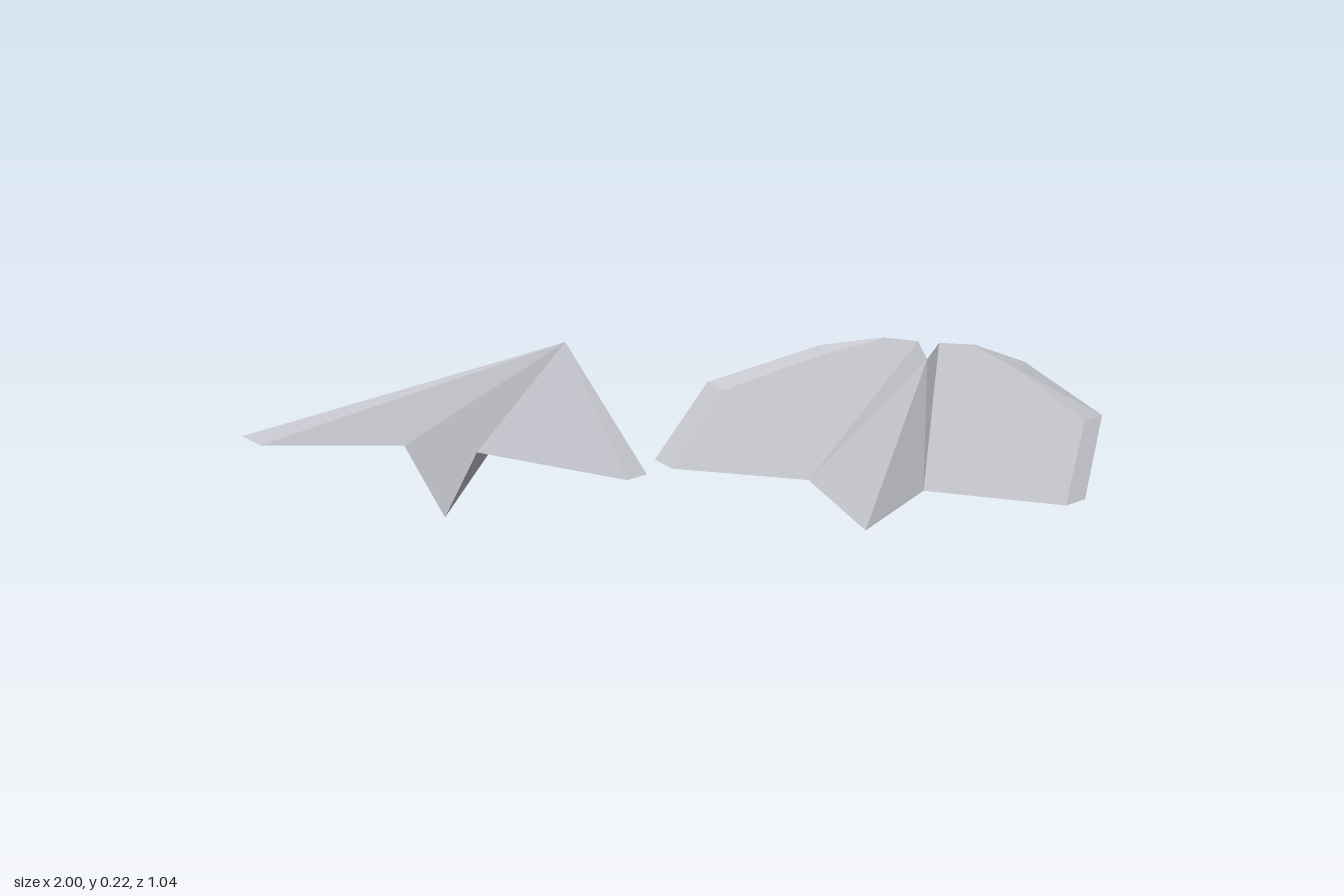
import * as THREE from 'three';

const paper = new THREE.MeshStandardMaterial({ color: 0xc8c9d0, side: THREE.DoubleSide });
paper.name = 'paper';

// Flat panel from a convex outline; flip keeps the upper side facing up on mirrored halves
function panel(name, points, side) {
  const pos = [];
  for (let i = 1; i < points.length - 1; i++) {
    const tri = [points[0], points[i], points[i + 1]];
    if (side < 0) tri.reverse();
    tri.forEach(([x, y, z]) => pos.push(x * side, y, z));
  }
  const g = new THREE.BufferGeometry();
  g.setAttribute('position', new THREE.Float32BufferAttribute(pos, 3));
  g.computeVertexNormals();
  const mesh = new THREE.Mesh(g, paper);
  mesh.name = name;
  return mesh;
}

// Build a plane from the panels of its left half, mirrored about the keel
function foldedPlane(name, x, panels) {
  const plane = new THREE.Group();
  plane.name = name;
  plane.position.x = x;
  for (const side of [1, -1])
    for (const [part, points] of Object.entries(panels))
      plane.add(panel((side > 0 ? 'left ' : 'right ') + part, points, side));
  return plane;
}

function dartPlane() {
  const nose = [0, 0.1, -0.52], keel = [0, 0, 0.48], fold = [0.09, 0.18, 0.49];
  const crease = [0.455, 0.148, 0.495], tip = [0.502, 0.166, 0.493];
  return foldedPlane('dartPlane', -0.498, {
    keel: [nose, keel, fold],
    wing: [nose, fold, crease],
    winglet: [nose, crease, tip],
  });
}

function gliderPlane() {
  const y = 0.198, top = 0.217;
  const keelFront = [0, 0.155, -0.465], keelRear = [0, 0.08, 0.495];
  const foldFront = [0.028, y, -0.48], foldRear = [0.13, y, 0.512];
  // Wing crease and raised rim, from front to rear
  const crease = [[0.115, y, -0.487], [0.25, y, -0.325], [0.445, y, 0], [0.445, y, 0.52]];
  const rim = [[0.12, y, -0.488], [0.265, top, -0.335], [0.485, top, 0], [0.485, top, 0.52]];
  const panels = {
    keel: [keelFront, keelRear, foldRear, foldFront],
    wing: [foldFront, foldRear, ...[...crease].reverse()],
  };
  ['front rim', 'middle rim', 'side rim'].forEach((part, i) => {
    panels[part] = [crease[i], crease[i + 1], rim[i + 1], rim[i]];
  });
  return foldedPlane('gliderPlane', 0.515, panels);
}

export function createModel() {
  const model = new THREE.Group();
  model.name = 'paperPlanes';
  model.add(dartPlane(), gliderPlane());
  return model;
}
